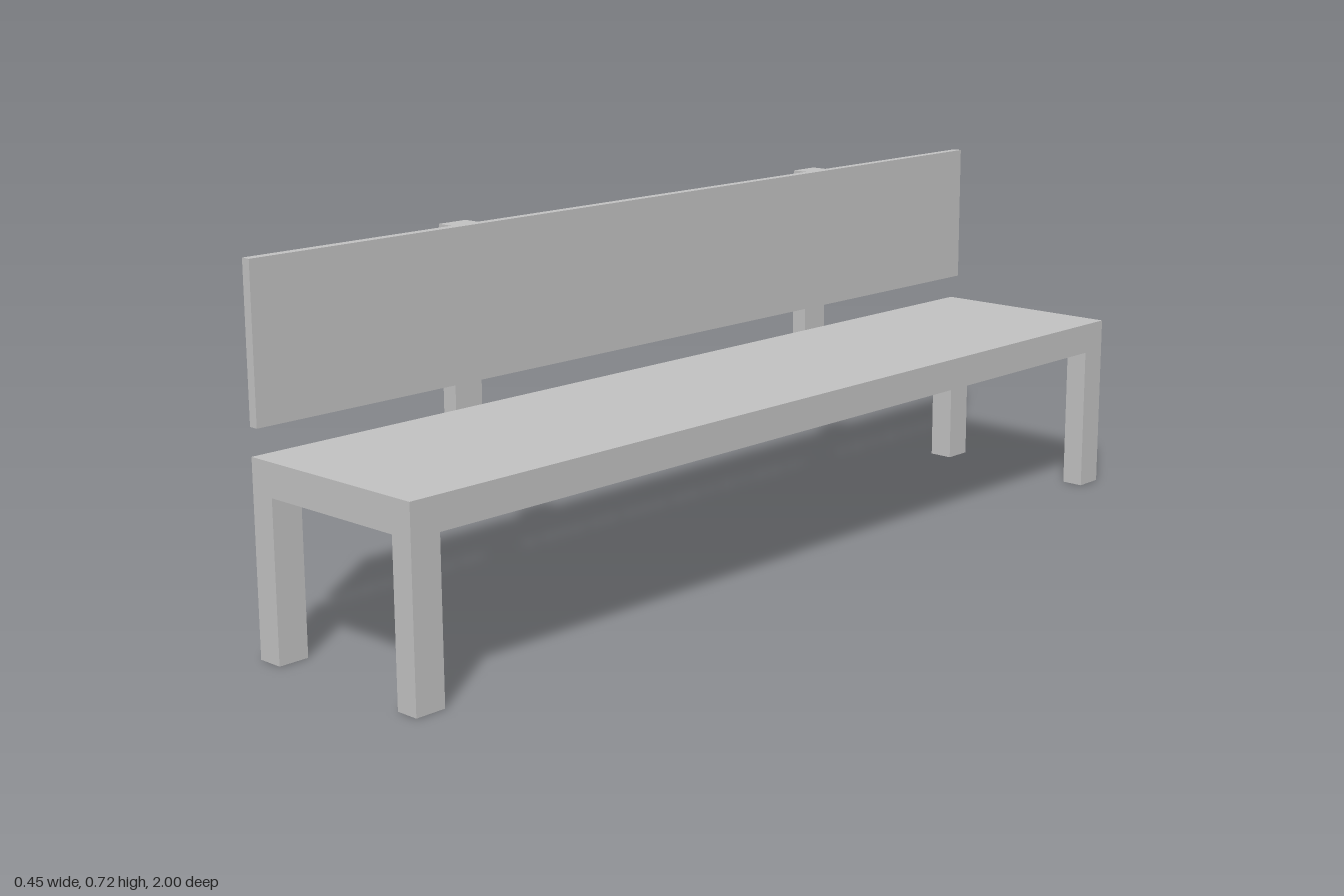
import * as THREE from 'three';

export function createModel() {
  const model = new THREE.Group();
  model.name = 'bench';
  const grey = new THREE.MeshStandardMaterial({ color: 0xc0c0c0 });
  grey.name = 'light grey';

  // Box given by its minimum and maximum on each axis
  function slab(name, [x0, x1], [y0, y1], [z0, z1]) {
    const mesh = new THREE.Mesh(new THREE.BoxGeometry(x1 - x0, y1 - y0, z1 - z0), grey);
    mesh.position.set((x0 + x1) / 2, (y0 + y1) / 2, (z0 + z1) / 2);
    mesh.name = name;
    model.add(mesh);
  }

  const seatBottom = 0.305, top = 0.717, rear = -0.193, front = 0.227;

  // Seat and backrest run the full length
  slab('seat', [rear, front], [seatBottom, 0.369], [-1, 1]);
  slab('backrest', [rear, -0.174], [0.422, top], [-1, 1]);

  // Legs and backrest posts, mirrored along the length
  for (const side of [-1, 1]) {
    const span = (a, b) => (side > 0 ? [a, b] : [-b, -a]);
    slab('rearLeg', [rear, -0.14], [0, seatBottom], span(0.938, 1));
    slab('frontLeg', [0.18, front], [0, seatBottom], span(0.938, 1));
    slab('backrestPost', [-0.227, rear], [seatBottom, top], span(0.47, 0.535));
  }
  return model;
}
